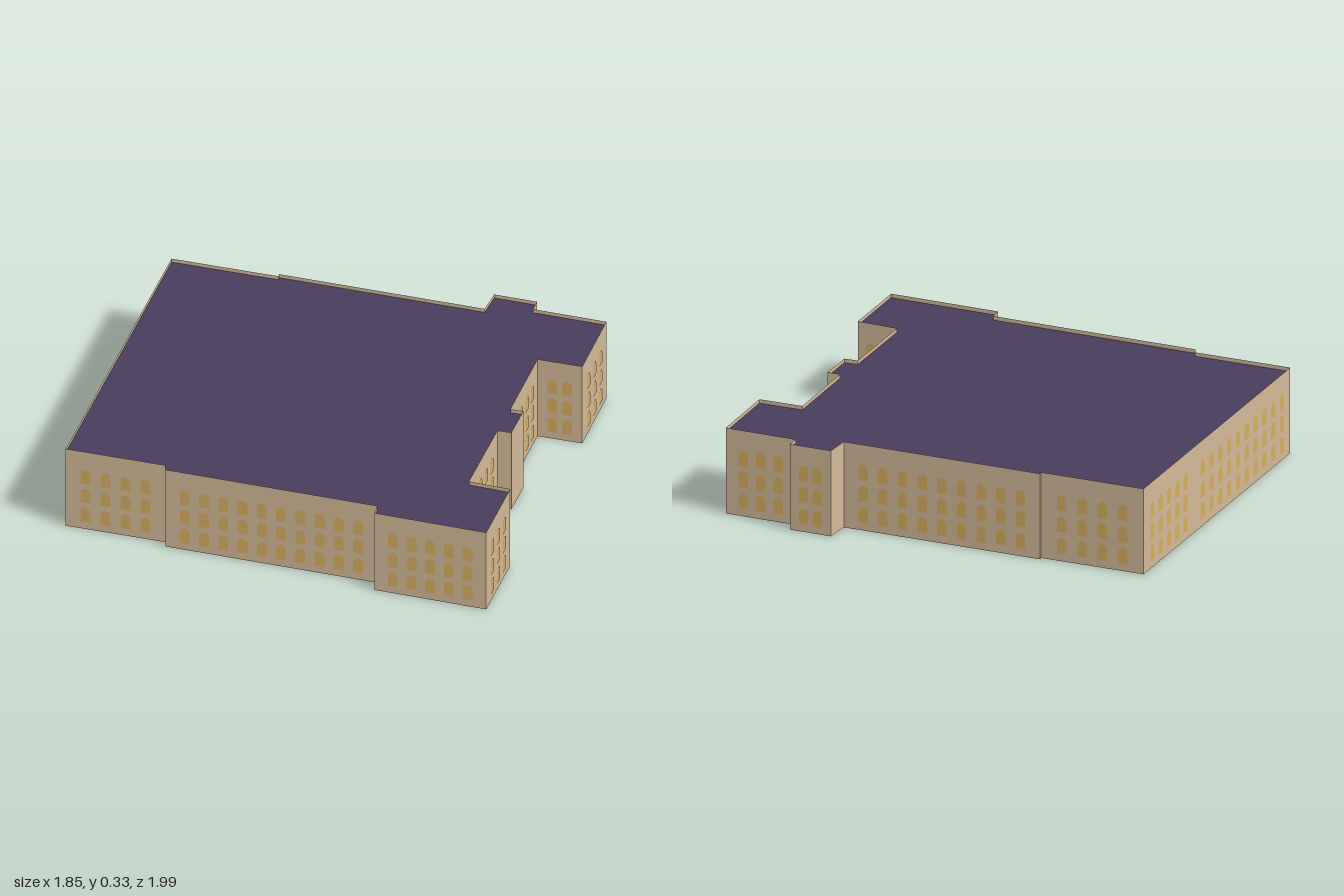
import * as THREE from 'three';

const HEIGHT = 0.33, ROOF_Y = 0.315;
const WINDOW_W = 0.037, ROWS = [0.03, 0.112, 0.194];

// Footprint corners [x, z, window columns on the wall that starts here]
const FOOTPRINT = [
  [-0.926, -0.53, 10], [-0.13, -0.84, 5], [0.28, -1.0, 4],
  [0.428, -0.628, 0], [0.44, -0.635, 9], [0.72, 0.083, 0],
  [0.815, 0.052, 2], [0.873, 0.202, 0], [0.826, 0.22, 3],
  [0.925, 0.477, 3], [0.643, 0.59, 2], [0.58, 0.435, 4],
  [0.265, 0.56, 0], [0.284, 0.605, 0], [0.148, 0.657, 0], [0.127, 0.61, 4],
  [-0.196, 0.735, 2], [-0.143, 0.882, 3], [-0.418, 0.99, 5],
  [-0.567, 0.597, 0], [-0.524, 0.577, 10], [-0.81, -0.165, 0], [-0.788, -0.183, 4],
];

// Arched window outline, standing on y = 0
function windowGeometry() {
  const w = WINDOW_W / 2, s = new THREE.Shape();
  s.moveTo(-w, 0);
  s.lineTo(w, 0);
  s.lineTo(w, 0.042);
  s.absarc(0, 0.042, w, 0, Math.PI, false);
  s.closePath();
  return new THREE.ShapeGeometry(s, 5);
}

export function createModel() {
  const wallMat = new THREE.MeshStandardMaterial({ color: 0xd3ba98, side: THREE.DoubleSide });
  wallMat.name = 'sandstone';
  const roofMat = new THREE.MeshStandardMaterial({ color: 0x483d5b, side: THREE.DoubleSide });
  roofMat.name = 'slate purple';
  const windowMat = new THREE.MeshStandardMaterial({ color: 0xd6ad60 });
  windowMat.name = 'amber glass';

  const model = new THREE.Group();
  model.name = 'building';
  const pane = windowGeometry();

  // Walls, each with its own rows of windows
  FOOTPRINT.forEach(([x, z, columns], i) => {
    const [x2, z2] = FOOTPRINT[(i + 1) % FOOTPRINT.length];
    const dx = x2 - x, dz = z2 - z, length = Math.hypot(dx, dz);
    const section = new THREE.Group();
    section.name = 'wallSection';
    section.position.set((x + x2) / 2, 0, (z + z2) / 2);
    section.rotation.y = Math.atan2(dz, -dx); // local +z points outward

    const wall = new THREE.Mesh(new THREE.PlaneGeometry(length, HEIGHT), wallMat);
    wall.name = 'wall';
    wall.position.y = HEIGHT / 2;
    section.add(wall);

    for (let c = 1; c <= columns; c++) {
      for (const y of ROWS) {
        const win = new THREE.Mesh(pane, windowMat);
        win.name = 'window';
        win.position.set(length * (c / (columns + 1) - 0.5), y, 0.002);
        section.add(win);
      }
    }
    model.add(section);
  });

  // Flat roof set just below the wall tops
  const outline = new THREE.Shape(FOOTPRINT.map(([x, z]) => new THREE.Vector2(x, -z)));
  const roof = new THREE.Mesh(new THREE.ShapeGeometry(outline).rotateX(-Math.PI / 2), roofMat);
  roof.name = 'roof';
  roof.position.y = ROOF_Y;
  model.add(roof);

  return model;
}
